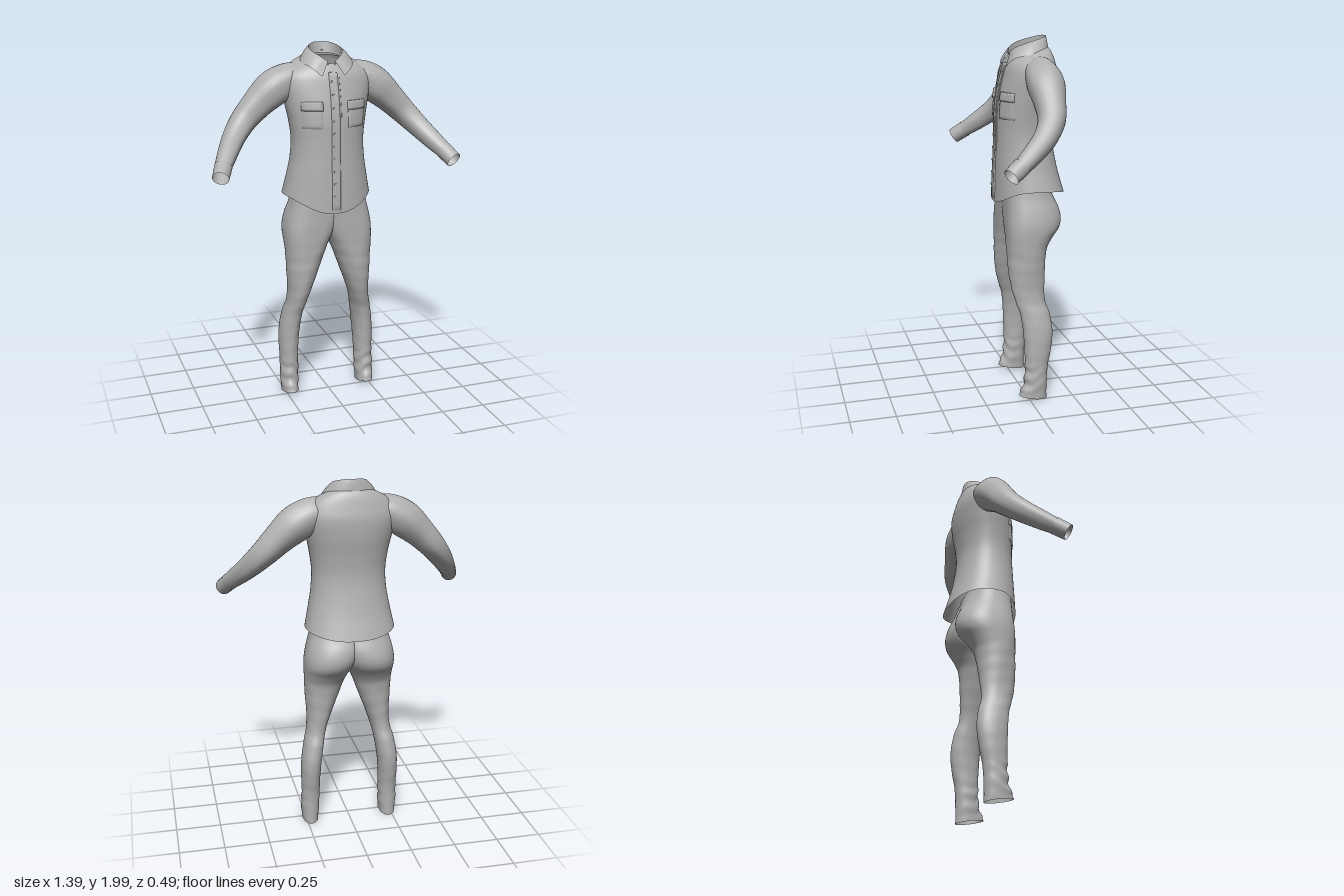
import * as THREE from 'three';
import { mergeVertices } from 'three/addons/utils/BufferGeometryUtils.js';

const V = (x, y, z) => new THREE.Vector3(x, y, z);
const cloth = new THREE.MeshStandardMaterial({ color: 0xb0b0b0, side: THREE.DoubleSide });
cloth.name = 'grey cloth';

// Smooth surface from a rule point(u, v), with u and v from 0 to 1
function surface(name, point, nu, nv, skip = () => false) {
  const pos = [], idx = [], w = nu + 1;
  for (let j = 0; j <= nv; j++) {
    for (let i = 0; i <= nu; i++) pos.push(...point(i / nu, j / nv).toArray());
  }
  for (let j = 0; j < nv; j++) {
    for (let i = 0; i < nu; i++) {
      const a = j * w + i, b = a + 1, c = a + w, d = c + 1;
      if (skip([a, b, c, d].map((k) => pos[k * 3]))) continue;
      idx.push(a, b, d, a, d, c);
    }
  }
  let geo = new THREE.BufferGeometry();
  geo.setAttribute('position', new THREE.Float32BufferAttribute(pos, 3));
  geo.setIndex(idx);
  geo = mergeVertices(geo, 1e-5);
  geo.computeVertexNormals();
  const mesh = new THREE.Mesh(geo, cloth);
  mesh.name = name;
  return mesh;
}

// Smooth interpolation through rows whose first entry is the key
function sample(rows, key) {
  let i = 0;
  while (i < rows.length - 2 && key > rows[i + 1][0]) i++;
  const at = (k) => rows[Math.min(Math.max(k, 0), rows.length - 1)];
  const [p, a, b, q] = [at(i - 1), at(i), at(i + 1), at(i + 2)];
  const t = THREE.MathUtils.clamp((key - a[0]) / (b[0] - a[0]), 0, 1);
  return a.map((v, k) => {
    const m0 = (b[k] - p[k]) / (b[0] - p[0]) * (b[0] - a[0]);
    const m1 = (q[k] - v) / (q[0] - a[0]) * (b[0] - a[0]);
    return v * (2 * t ** 3 - 3 * t * t + 1) + m0 * (t ** 3 - 2 * t * t + t)
      + b[k] * (3 * t * t - 2 * t ** 3) + m1 * (t ** 3 - t * t);
  });
}

const power = (c, n) => Math.sign(c) * Math.abs(c) ** (2 / n);

// Shirt body rows: height, half width, front z, back z
const body = [
  [1.19, 0.245, 0.14, -0.245], [1.3, 0.222, 0.135, -0.208], [1.4, 0.205, 0.13, -0.185],
  [1.5, 0.2, 0.127, -0.175], [1.6, 0.212, 0.125, -0.183], [1.7, 0.232, 0.112, -0.197],
  [1.8, 0.25, 0.088, -0.2], [1.86, 0.228, 0.072, -0.185], [1.905, 0.165, 0.058, -0.165],
  [1.93, 0.1, 0.045, -0.14],
];
const bodyN = 2.25;

function bodyPoint(u, v) {
  const a = u * Math.PI * 2, s = Math.sin(a), c = Math.cos(a);
  const y = 1.19 + 0.74 * v;
  const [, w, f, b] = sample(body, y);
  const z = (f + b) / 2 + (f - b) / 2 * power(c, bodyN);
  // curved shirt tails and a neckline that falls to the front
  const tail = (c > 0 ? 0.085 * c ** 3 : 0.035 * c * c) * Math.max(0, 1 - v / 0.25);
  const neck = 0.28 * (z + 0.05) * THREE.MathUtils.smoothstep(y, 1.82, 1.93);
  return V(w * power(s, bodyN), y - tail - neck, z);
}

function frontZ(x, y) {
  const [, w, f, b] = sample(body, Math.max(y, 1.19));
  return (f + b) / 2 + (f - b) / 2 * Math.max(0, 1 - Math.abs(x / w) ** bodyN) ** (1 / bodyN);
}

// Sewn-on panel that follows the shirt front, its rim tucked in
function panel(name, x0, x1, y0, y1, lift, nv) {
  return surface(name, (u, v) => {
    const x = THREE.MathUtils.lerp(x0, x1, THREE.MathUtils.clamp((u * 8 - 1) / 6, 0, 1));
    const y = THREE.MathUtils.lerp(y0, y1, THREE.MathUtils.clamp((v * nv - 1) / (nv - 2), 0, 1));
    const rim = u === 0 || u === 1 || v === 0 || v === 1;
    return V(x, y, frontZ(x, y) + (rim ? -0.004 : lift));
  }, 8, nv);
}

// Sleeve rows: position along, x, y, z, radius
const sleeve = [
  [0, 0.13, 1.83, -0.065, 0.07], [1, 0.21, 1.81, -0.068, 0.09], [2, 0.295, 1.763, -0.066, 0.097],
  [3, 0.38, 1.69, -0.06, 0.082], [4, 0.46, 1.61, -0.045, 0.07], [5, 0.53, 1.53, 0.012, 0.06],
  [6, 0.59, 1.455, 0.1, 0.051], [7, 0.63, 1.405, 0.168, 0.042],
];
const cuff = [[0, 0.622, 1.415, 0.155, 0.047], [1, 0.652, 1.37, 0.218, 0.044]];

function tube(name, rows, side, nv, fold) {
  const last = rows.length - 1;
  return surface(name, (u, v) => {
    const [, x, y, z, r] = sample(rows, v * last);
    const p0 = sample(rows, Math.max(0, v * last - 0.1)), p1 = sample(rows, Math.min(last, v * last + 0.1));
    const t = V(p1[1] - p0[1], p1[2] - p0[2], p1[3] - p0[3]).normalize();
    const e1 = V(0.7, 0.7, 0).addScaledVector(t, -t.dot(V(0.7, 0.7, 0))).normalize();
    const e2 = t.clone().cross(e1);
    const a = u * Math.PI * 2, R = r * (1 + fold * Math.cos(5 * a + v * 4));
    const p = V(x, y, z).addScaledVector(e1, R * Math.cos(a)).addScaledVector(e2, R * Math.sin(a));
    p.x *= side;
    return p;
  }, 28, nv);
}

// Trouser half rows: height, inner x, outer x, front z, back z
const leg = [
  [0.025, 0.183, 0.275, 0.056, -0.1], [0.1, 0.178, 0.28, 0.03, -0.1], [0.2, 0.175, 0.278, 0.022, -0.106],
  [0.3, 0.172, 0.28, 0.025, -0.125], [0.4, 0.163, 0.277, 0.03, -0.135], [0.5, 0.148, 0.26, 0.043, -0.122],
  [0.57, 0.132, 0.242, 0.065, -0.1], [0.65, 0.106, 0.236, 0.085, -0.1], [0.76, 0.065, 0.242, 0.098, -0.108],
  [0.86, 0.028, 0.246, 0.1, -0.122], [0.92, 0.004, 0.248, 0.1, -0.155], [0.97, -0.025, 0.25, 0.1, -0.196],
  [1.02, -0.055, 0.247, 0.1, -0.211], [1.08, -0.09, 0.235, 0.099, -0.202], [1.15, -0.125, 0.215, 0.1, -0.172],
  [1.25, -0.16, 0.195, 0.1, -0.14],
];

function trouserHalf(name, side) {
  return surface(name, (u, v) => {
    const a = u * Math.PI * 2, s = Math.sin(a), c = Math.cos(a);
    const y0 = 0.025 + 1.225 * v;
    const [, xi, xo, f, b] = sample(leg, y0);
    const hip = THREE.MathUtils.smoothstep(y0, 0.8, 1.0);
    const n = s > 0 ? 2 + hip : 2.1;
    // soft rumples all over, deeper creases bunched at the ankle
    const bunch = THREE.MathUtils.smoothstep(0.24 - y0, 0, 0.06) * THREE.MathUtils.smoothstep(y0, 0.025, 0.06);
    const k = 1 + 0.011 * Math.sin(31 * y0 + 3 * a) * Math.sin(47 * y0 - 4 * a) * (1 - hip)
      + 0.075 * bunch * Math.sin(85 * y0 + 2 * a + Math.sin(3 * a)) * (0.5 + 0.5 * s);
    const x = (xi + xo) / 2 + (xo - xi) / 2 * power(c, n) * k;
    const z = (f + b) / 2 + (f - b) / 2 * power(s, n) * k;
    const slant = 0.22 * z * Math.max(0, 1 - y0 / 0.12);
    return V(side * Math.max(0, x), y0 + slant, z);
  }, 44, 100, (xs) => xs.every((x) => Math.abs(x) < 1e-6));
}

// Mirrored edge curve from the front of one side round the back to the other
function edge(points) {
  const half = points.map((p) => V(...p));
  const other = half.slice(0, -1).reverse().map((p) => V(-p.x, p.y, p.z));
  return new THREE.CatmullRomCurve3([...half, ...other]);
}

export function createModel() {
  const model = new THREE.Group();
  model.name = 'shirt and trousers';

  model.add(surface('shirtBody', bodyPoint, 56, 48));
  model.add(panel('buttonPlacket', -0.024, 0.022, 1.125, 1.86, 0.006, 30));
  model.add(panel('placketFold', 0.022, 0.032, 1.39, 1.84, 0.004, 20));

  // Buttons down the placket
  for (let i = 0; i < 10; i++) {
    const y = 1.2 + i * 0.068;
    const button = new THREE.Mesh(new THREE.CylinderGeometry(0.007, 0.007, 0.006, 10), cloth);
    button.name = 'button';
    button.rotation.x = Math.PI / 2;
    button.position.set(-0.01, y, frontZ(-0.01, y) + 0.008);
    model.add(button);
  }

  // Collar leaf and the stand inside it
  const top = edge([[0.02, 1.915, 0.05], [0.055, 1.94, 0.032], [0.088, 1.967, -0.03],
    [0.078, 1.987, -0.1], [0.04, 1.999, -0.14], [0, 2, -0.15]]);
  const rim = edge([[0.062, 1.84, 0.085], [0.112, 1.883, 0.056], [0.145, 1.908, -0.03],
    [0.125, 1.915, -0.11], [0.06, 1.925, -0.152], [0, 1.927, -0.16]]);
  const base = edge([[0.012, 1.875, 0.05], [0.05, 1.89, 0.032], [0.09, 1.915, -0.035],
    [0.08, 1.93, -0.1], [0.04, 1.94, -0.13], [0, 1.94, -0.138]]);
  model.add(surface('collarLeaf', (u, v) => {
    const p = top.getPoint(u).lerp(rim.getPoint(u), v);
    p.y += 0.012 * Math.sin(v * Math.PI) * Math.sin(u * Math.PI);
    return p;
  }, 48, 6));
  model.add(surface('collarStand', (u, v) => base.getPoint(u).lerp(top.getPoint(u), v), 48, 3));

  for (const side of [1, -1]) {
    const label = side > 0 ? 'left' : 'right';
    model.add(tube(label + 'Sleeve', sleeve, side, 40, 0.025));
    model.add(tube(label + 'Cuff', cuff, side, 4, 0));
    model.add(panel(label + 'Pocket', side * 0.072, side * 0.172, 1.57, 1.705, 0.006, 10));
    model.add(panel(label + 'PocketFlap', side * 0.07, side * 0.176, 1.665, 1.712, 0.012, 6));
    model.add(trouserHalf(label + 'TrouserLeg', side));
  }
  return model;
}
